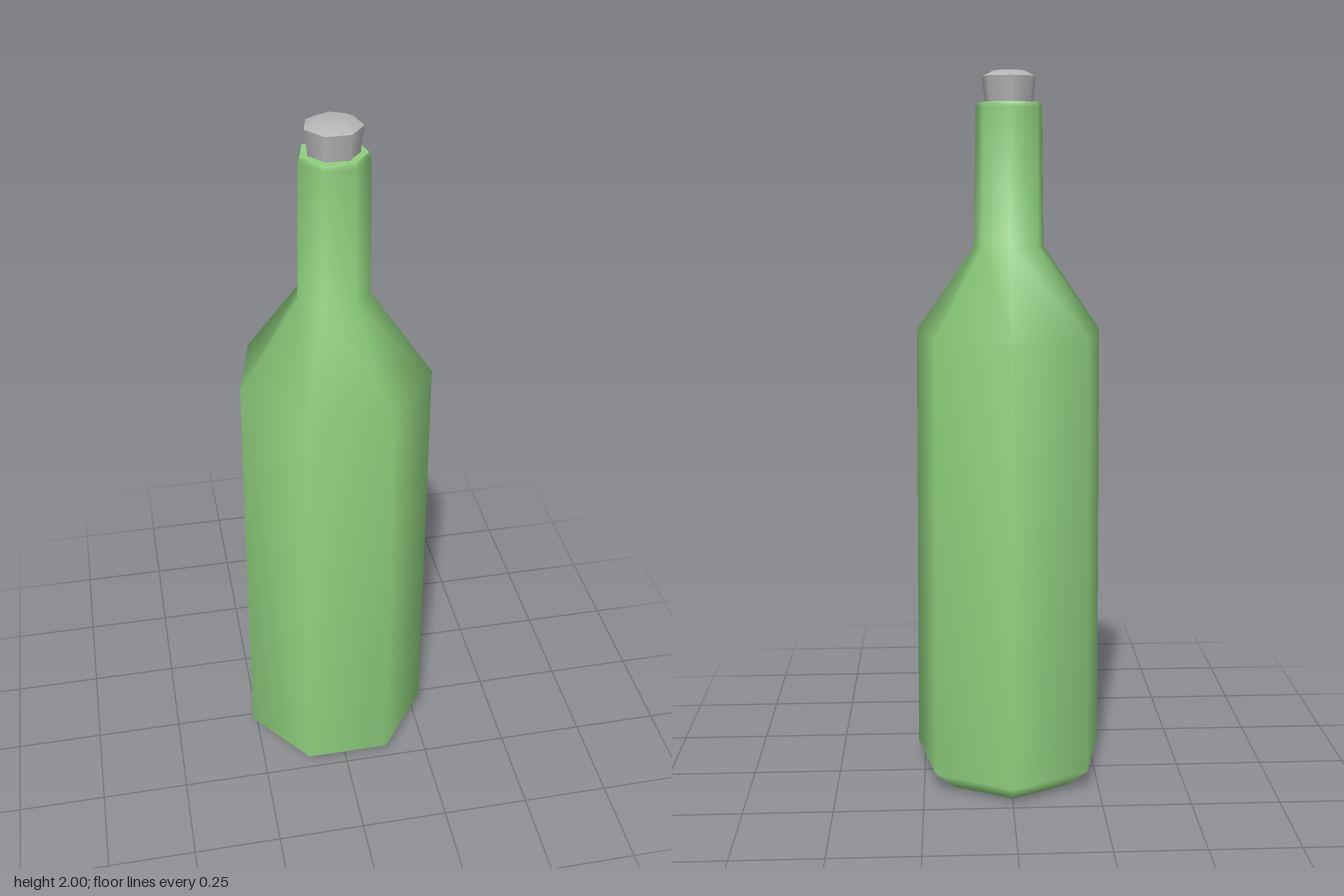
import * as THREE from 'three';

const SIDES = 7;

const glassGreen = new THREE.MeshStandardMaterial({ color: 0x8fd07e });
glassGreen.name = 'glassGreen';
const stopperGrey = new THREE.MeshStandardMaterial({ color: 0xb6b6b6 });
stopperGrey.name = 'stopperGrey';

// Seven-sided turned part with one corner pointing to the back
function turned(name, profile, material) {
  const points = profile.map(([r, y]) => new THREE.Vector2(r, y));
  const mesh = new THREE.Mesh(new THREE.LatheGeometry(points, SIDES, Math.PI), material);
  mesh.name = name;
  mesh.position.z = 0.013;
  return mesh;
}

export function createModel() {
  const bottle = new THREE.Group();
  bottle.name = 'bottle';

  // Base, bevel, tapering body, shoulder and neck
  bottle.add(turned('bottleBody', [
    [0, 0], [0.208, 0], [0.2755, 0.06],
    [0.264, 1.3], [0.098, 1.535], [0.092, 1.905], [0.087, 1.918],
  ], glassGreen));

  // Flat rim around the stopper
  bottle.add(turned('rim', [[0.087, 1.918], [0.06, 1.918]], glassGreen));

  // Flared stopper with a shallow crown
  bottle.add(turned('stopperSide', [[0.066, 1.915], [0.075, 1.985]], stopperGrey));
  bottle.add(turned('stopperTop', [[0.075, 1.985], [0.045, 2], [0, 2]], stopperGrey));

  return bottle;
}
